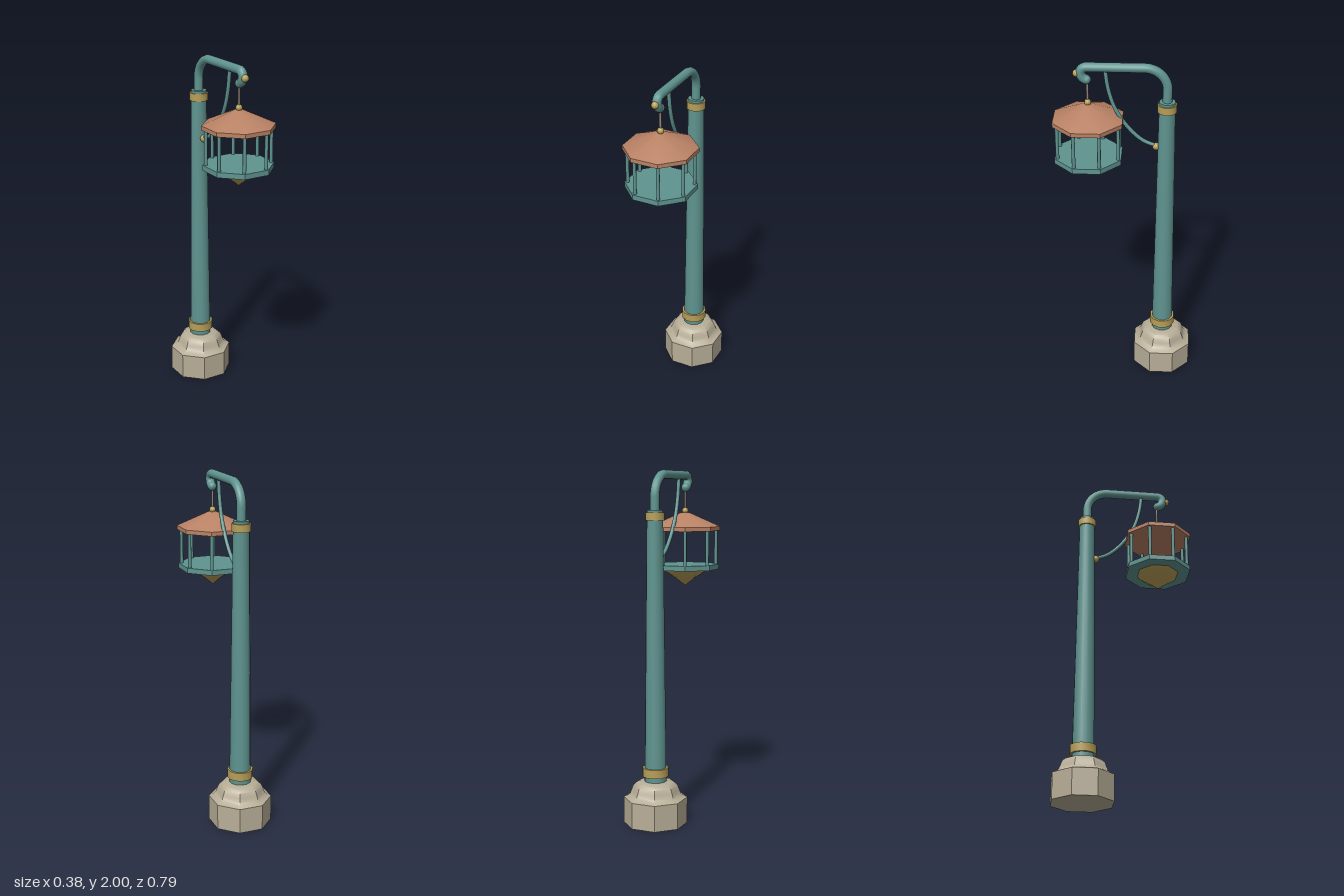
import * as THREE from 'three';
import { toCreasedNormals } from 'three/addons/utils/BufferGeometryUtils.js';

const POLE_Z = -0.227;
const LAMP_Z = 0.203;

export function createModel() {
  const model = new THREE.Group();
  model.name = 'lampPost';

  const material = (name, color) => {
    const m = new THREE.MeshStandardMaterial({ color });
    m.name = name;
    return m;
  };
  const teal = material('teal paint', 0x5f9490);
  const gold = material('brass', 0xb89f58);
  const copper = material('copper', 0xb98265);
  const stone = material('stone', 0xb8ae98);
  const iron = material('rod metal', 0x93867a);

  const add = (name, geometry, mat, x = 0, y = 0, z = 0, parent = model) => {
    const mesh = new THREE.Mesh(geometry, mat);
    mesh.name = name;
    mesh.position.set(x, y, z);
    parent.add(mesh);
    return mesh;
  };

  // Turned part with flats facing the axes; profile is [apothem, y] from bottom to top
  const turned = (profile, sides) => {
    const k = 1 / Math.cos(Math.PI / sides);
    const g = new THREE.LatheGeometry(profile.map(([r, y]) => new THREE.Vector2(r * k, y)), sides);
    g.rotateY(Math.PI / sides);
    return toCreasedNormals(g, 0.6);
  };

  // Round bar along a path of [y, z] points in the x = 0 plane
  const point = ([y, z]) => new THREE.Vector3(0, y, z);
  const tube = (curve, radius, segments) => new THREE.TubeGeometry(curve, segments, radius, 12, false);

  // Stone foot
  add('base', turned([
    [0, 0], [0.168, 0], [0.168, 0.15], [0.15, 0.158], [0.134, 0.172], [0.126, 0.195],
    [0.116, 0.222], [0.1, 0.238], [0.07, 0.246], [0, 0.246],
  ], 8), stone, 0, 0, POLE_Z);

  // Tapered pole and its brass collars
  add('pole', turned([[0, 0.23], [0.061, 0.23], [0.044, 1.78], [0, 1.78]], 12), teal, 0, 0, POLE_Z);
  const collar = (name, y0, y1, r) =>
    add(name, turned([[0, y0], [r, y0], [r, y1], [0, y1]], 12), gold, 0, 0, POLE_Z);
  collar('lowerCollar', 0.275, 0.325, 0.072);
  collar('upperCollar', 1.722, 1.766, 0.052);

  // Bent arm: riser, quarter bend, straight run and curled tip
  const arm = new THREE.CurvePath();
  const bendStart = point([1.85, POLE_Z]);
  const bendEnd = point([1.974, -0.103]);
  arm.add(new THREE.LineCurve3(point([1.75, POLE_Z]), bendStart));
  arm.add(new THREE.CubicBezierCurve3(bendStart, point([1.918, POLE_Z]), point([1.974, -0.171]), bendEnd));
  const runEnd = point([1.974, 0.205]);
  const tip = point([1.902, 0.208]);
  arm.add(new THREE.LineCurve3(bendEnd, runEnd));
  arm.add(new THREE.CubicBezierCurve3(runEnd, point([1.974, 0.25]), point([1.915, 0.25]), tip));
  add('arm', tube(arm, 0.026, 72), teal);
  add('armTip', new THREE.SphereGeometry(0.026, 12, 8), teal, 0, tip.y, tip.z);
  add('armKnob', new THREE.SphereGeometry(0.021, 10, 8), gold, 0, 1.938, 0.261);

  // Curved brace between arm and pole
  const brace = new THREE.CatmullRomCurve3(
    [[1.965, 0.108], [1.85, 0.092], [1.735, 0.056], [1.615, -0.02], [1.54, -0.1], [1.505, -0.185]].map(point));
  add('brace', tube(brace, 0.011, 24), teal);
  add('braceKnob', new THREE.SphereGeometry(0.022, 10, 8), gold, 0, 1.505, -0.171);

  // Hanging lantern
  const lantern = new THREE.Group();
  lantern.name = 'lantern';
  lantern.position.z = LAMP_Z;
  model.add(lantern);
  add('hangingRod', new THREE.CylinderGeometry(0.007, 0.007, 0.15, 8), iron, 0, 1.835, 0, lantern);
  add('roofKnob', new THREE.SphereGeometry(0.019, 10, 8), gold, 0, 1.768, 0, lantern);
  add('roof', turned([
    [0, 1.652], [0.19, 1.652], [0.19, 1.676], [0.025, 1.756], [0, 1.758],
  ], 8), copper, 0, 0, 0, lantern);
  add('tray', turned([[0, 1.425], [0.184, 1.425], [0.184, 1.455], [0, 1.455]], 8), teal, 0, 0, 0, lantern);
  add('pendant', turned([
    [0, 1.328], [0.012, 1.338], [0.055, 1.374], [0.1, 1.405], [0.12, 1.43], [0, 1.43],
  ], 8), gold, 0, 0, 0, lantern);

  // Posts at the corners of the octagon
  const post = new THREE.CylinderGeometry(0.01, 0.01, 0.22, 8);
  for (let i = 0; i < 8; i++) {
    const a = (i + 0.5) * Math.PI / 4;
    add('lanternPost', post, teal, 0.181 * Math.cos(a), 1.553, 0.181 * Math.sin(a), lantern);
  }

  return model;
}
